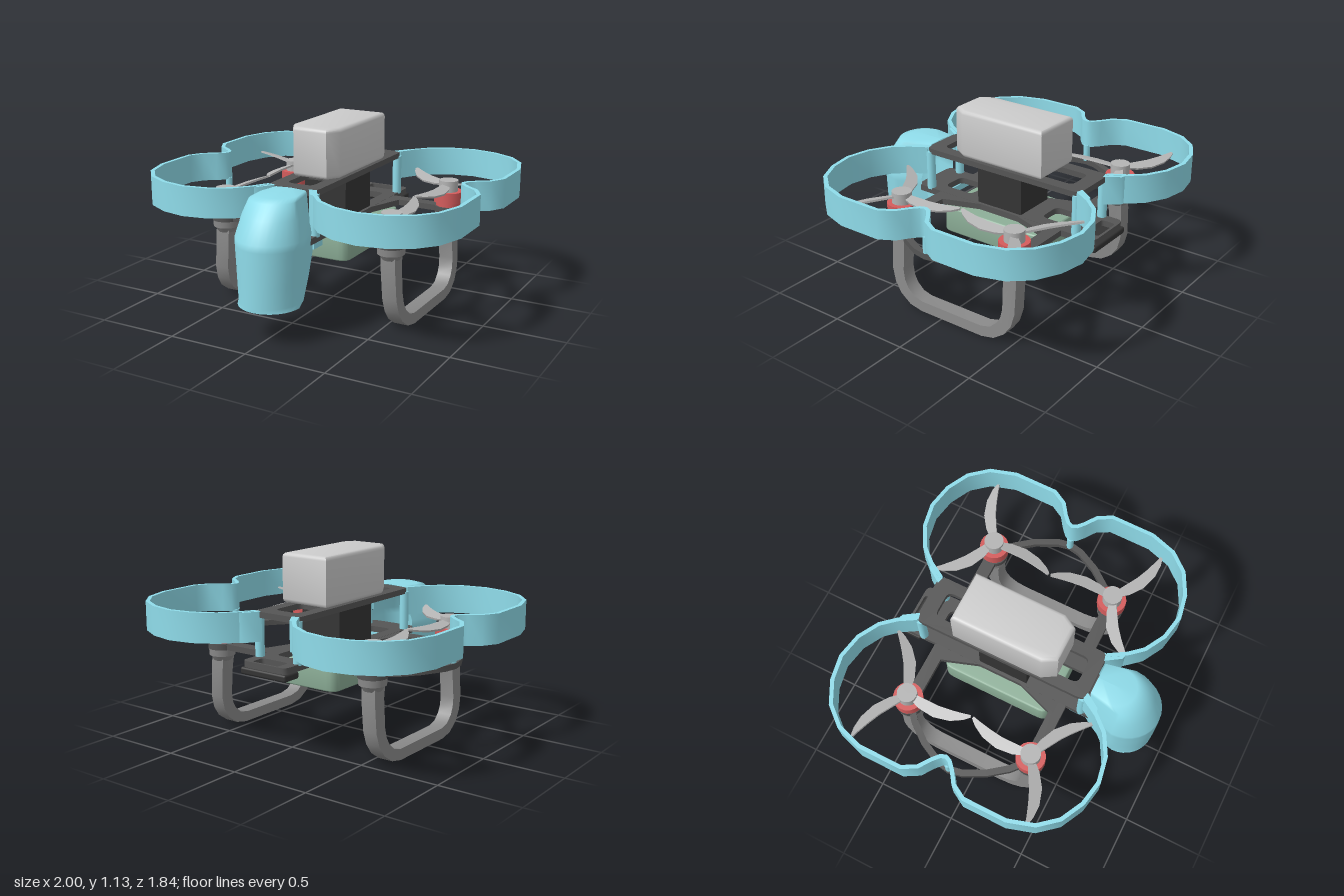
import * as THREE from 'three';
import { RoundedBoxGeometry } from 'three/addons/geometries/RoundedBoxGeometry.js';
import { toCreasedNormals } from 'three/addons/utils/BufferGeometryUtils.js';

const mat = (color, extra = {}) => new THREE.MeshStandardMaterial({ color, ...extra });
const BLUE = mat(0x8fdcea, { side: THREE.DoubleSide });
const RED = mat(0xd45c5c), GREEN = mat(0x8cae97), DARK = mat(0x555555);
const BLACK = mat(0x343434), LEG = mat(0x8a8a8a), PROP = mat(0xb4b4b4), GREY = mat(0xcccccc);
const MID = -0.07, HALF = 0.41, MX = 0.56; // motor layout
const vecs = pts => pts.map(([x, y]) => new THREE.Vector2(x, y));

// Closed outline around an open polyline with mitred corners; a point may carry its own width
function ribbon(pts, width) {
  const p = vecs(pts), left = [], right = [];
  const normal = (a, b) => new THREE.Vector2(a.y - b.y, b.x - a.x).normalize();
  p.forEach((q, i) => {
    const n1 = normal(p[Math.max(i - 1, 0)], p[Math.max(i, 1)]);
    const n2 = i < p.length - 1 ? normal(q, p[i + 1]) : n1;
    const n = n1.clone().add(n2).normalize();
    n.multiplyScalar((pts[i][2] ?? width) / 2 / n.dot(n1));
    left.push(q.clone().add(n));
    right.unshift(q.clone().sub(n));
  });
  return new THREE.Shape([...left, ...right]);
}

// Rounded rectangle in plan, x from -w to w and z from z0 to z1
function roundRect(w, z0, z1, r, Type = THREE.Shape) {
  const s = new Type();
  s.moveTo(-w + r, z0);
  s.lineTo(w - r, z0); s.quadraticCurveTo(w, z0, w, z0 + r);
  s.lineTo(w, z1 - r); s.quadraticCurveTo(w, z1, w - r, z1);
  s.lineTo(-w + r, z1); s.quadraticCurveTo(-w, z1, -w, z1 - r);
  s.lineTo(-w, z0 + r); s.quadraticCurveTo(-w, z0, -w + r, z0);
  return s;
}

// Extrude a plan (x, z) shape between two heights, optionally with rounded rims
function slab(shape, y0, y1, bevel = 0) {
  const g = new THREE.ExtrudeGeometry(shape, {
    depth: y1 - y0 - 2 * bevel, curveSegments: 4, bevelEnabled: bevel > 0,
    bevelSize: bevel, bevelThickness: bevel, bevelOffset: -bevel, bevelSegments: 3,
  });
  return toCreasedNormals(g.rotateX(Math.PI / 2).translate(0, y1 - bevel, 0), 0.8);
}

// Nose cover: U-shaped sections open at the back and bottom
function noseGeometry() {
  const rows = [ // y, half width, back z, front z
    [0.21, 0.187, 0.73, 0.915], [0.235, 0.188, 0.67, 0.916], [0.35, 0.194, 0.57, 0.918],
    [0.475, 0.2, 0.49, 0.92], [0.52, 0.203, 0.5, 0.92], [0.56, 0.205, 0.54, 0.92],
    [0.6, 0.207, 0.54, 0.92], [0.72, 0.174, 0.52, 0.86],
    [0.805, 0.146, 0.5, 0.8], [0.822, 0.12, 0.5, 0.74], [0.827, 0, 0.5, 0.62],
  ];
  const pos = [], index = [], N = 16, cols = N + 3;
  rows.forEach(([y, w, zb, zf]) => {
    const zc = Math.max(zb, Math.min(0.7, zf - 0.12));
    const wb = w * (1 - 1.5 * (zc - zb));
    pos.push(wb, y, zb);
    for (let j = 0; j <= N; j++) {
      const t = Math.PI * j / N;
      pos.push(w * Math.cos(t), y, zc + (zf - zc) * Math.sin(t));
    }
    pos.push(-wb, y, zb);
  });
  for (let i = 0; i < rows.length - 1; i++) for (let j = 0; j < cols - 1; j++) {
    const a = i * cols + j, c = a + cols;
    index.push(a, c, a + 1, a + 1, c, c + 1);
  }
  const g = new THREE.BufferGeometry();
  g.setAttribute('position', new THREE.Float32BufferAttribute(pos, 3));
  g.setIndex(index);
  g.computeVertexNormals();
  return g;
}

export function createModel() {
  const model = new THREE.Group();
  const add = (name, geo, material, x = 0, y = 0, z = 0, parent = model) => {
    const m = new THREE.Mesh(geo, material);
    m.name = name;
    m.position.set(x, y, z);
    parent.add(m);
    return m;
  };
  const cyl = (r0, r1, h, n = 20) => new THREE.CylinderGeometry(r0, r1, h, n);

  // Lower and upper frame plates with cut-outs
  const lower = roundRect(0.16, -0.745, 0.57, 0.04);
  lower.holes.push(roundRect(0.08, -0.54, -0.33, 0.04, THREE.Path),
    roundRect(0.08, 0.2, 0.41, 0.04, THREE.Path), roundRect(0.095, -0.73, -0.64, 0.02, THREE.Path));
  add('lowerPlate', slab(lower, 0.52, 0.558), DARK);
  const upper = roundRect(0.16, -0.635, 0.49, 0.05);
  upper.holes.push(roundRect(0.085, -0.54, -0.3, 0.04, THREE.Path),
    roundRect(0.085, 0.16, 0.405, 0.04, THREE.Path));
  add('upperPlate', slab(upper, 0.79, 0.825), DARK);
  add('rearBlock', new RoundedBoxGeometry(0.33, 0.042, 0.125, 2, 0.012), BLACK, 0, 0.5, -0.693);
  add('electronicsStack', new THREE.BoxGeometry(0.28, 0.24, 0.32), BLACK, 0, 0.675, -0.06);

  // Battery on top, with its front corners cut
  const battery = new THREE.Shape(vecs([[-0.16, -0.375], [0.16, -0.375], [0.16, 0.2],
    [0.11, 0.283], [-0.11, 0.283], [-0.16, 0.2]]));
  add('battery', slab(battery, 0.83, 1.13, 0.025), GREY);

  // Belly box
  add('bellyBox', slab(roundRect(0.25, -0.42, 0.293, 0.06), 0.355, 0.52, 0.01), GREEN);

  // Nose cover and its mounting bracket
  add('noseCover', noseGeometry(), BLUE);
  add('noseBracket', new THREE.BoxGeometry(0.3, 0.04, 0.1), BLUE, 0, 0.5, 0.45);

  // Half of one duct wall, from the waist to the frame (x, distance from the middle)
  const ductHalf = [[0.818, 0], [0.83, 0.03], [0.87, 0.066], [0.94, 0.115], [0.988, 0.2], [0.988, 0.47],
    [0.938, 0.63], [0.845, 0.74], [0.71, 0.81], [0.56, 0.838], [0.41, 0.81], [0.285, 0.74],
    [0.21, 0.655], [0.15, 0.555]];
  const braceHalf = [[0.825, 0], [0.81, 0.08], [0.745, 0.21], [0.66, 0.32], [0.59, 0.38]];
  const mirrored = (half, s) => [...half.slice(1).reverse().map(([x, z]) => [s * x, MID - z]),
    ...half.map(([x, z]) => [s * x, MID + z])];
  const bladeOutline = [[0.03, -0.02], [0.1, -0.045], [0.2, -0.055], [0.3, -0.032], [0.37, 0.008],
    [0.405, 0.04], [0.4, 0.055], [0.36, 0.045], [0.28, 0.03], [0.2, 0.02], [0.1, 0.02], [0.03, 0.02]];
  // Landing leg path: half span along z, height, width
  const legHalf = [[0.4, 0.5, 0.1], [0.412, 0.4, 0.09], [0.412, 0.22, 0.085], [0.395, 0.15, 0.08],
    [0.36, 0.095, 0.075], [0.3, 0.05, 0.068], [0.225, 0.033, 0.065]];
  const legPath = [...legHalf.map(([z, y, w]) => [MID + z, y, w]),
    ...[...legHalf].reverse().map(([z, y, w]) => [MID - z, y, w])];

  for (const s of [-1, 1]) {
    const side = s > 0 ? 'left' : 'right';
    add(side + 'Ducts', slab(ribbon(mirrored(ductHalf, s), 0.024), 0.65, 0.828), BLUE);
    add(side + 'Brace', slab(ribbon(mirrored(braceHalf, s), 0.04), 0.522, 0.556), DARK);
    add(side + 'WaistPost', cyl(0.022, 0.022, 0.11, 12), BLUE, s * 0.82, 0.603, MID);

    // Landing leg: a squared hoop leaning outward toward the ground
    const leg = new THREE.ExtrudeGeometry(ribbon(legPath), { depth: 0.09, bevelEnabled: false });
    leg.rotateY(-Math.PI / 2).translate(0.045, 0, 0);
    const p = leg.attributes.position;
    for (let i = 0; i < p.count; i++) {
      p.setX(i, p.getX(i) + s * (MX + 0.028 * (1 - Math.min(1, p.getY(i) / 0.45))));
    }
    add(side + 'LandingLeg', toCreasedNormals(leg, 0.8), LEG);

    for (const f of [-1, 1]) {
      const unit = new THREE.Group();
      unit.name = (f > 0 ? 'front' : 'back') + (s > 0 ? 'Left' : 'Right') + 'Rotor';
      unit.position.set(s * MX, 0, MID + f * HALF);
      model.add(unit);
      const part = (name, geo, material, x, y, z) => add(name, geo, material, x, y, z, unit);

      // Arm, motor seat and leg collar
      part('arm', new THREE.BoxGeometry(0.42, 0.036, 0.08), DARK, -s * 0.21, 0.539, 0);
      part('motorSeat', cyl(0.085, 0.085, 0.038), DARK, 0, 0.539, 0);
      part('legCollar', cyl(0.082, 0.08, 0.042), LEG, 0, 0.5, 0);
      part('legCollarTaper', cyl(0.075, 0.052, 0.035), LEG, 0, 0.463, 0);

      // Motor and hub
      part('motorBase', cyl(0.075, 0.075, 0.03), RED, 0, 0.572, 0);
      part('motorBell', cyl(0.09, 0.09, 0.068), RED, 0, 0.617, 0);
      part('hub', cyl(0.06, 0.06, 0.07), PROP, 0, 0.685, 0);

      // Three swept blades, mirrored between neighbouring rotors
      const k = s * f;
      for (let i = 0; i < 3; i++) {
        const blade = slab(new THREE.Shape(vecs(bladeOutline.map(([u, v]) => [k * v, u]))), -0.006, 0.006);
        blade.rotateZ(k * 0.25).rotateY((f > 0 ? Math.PI : 0) + i * Math.PI * 2 / 3);
        part('blade', blade, PROP, 0, 0.69, 0);
      }

      // Gusset between the arm and the lower plate
      const plan = pts => new THREE.Shape(vecs(pts.map(([x, z]) => [s * x, MID + f * z])));
      add('gusset', slab(plan([[0.15, 0.4], [0.25, 0.4], [0.15, 0.11]]), 0.521, 0.557), DARK);

      // Wedge and standoff joining the duct end to the frame
      add('ductWedge', slab(plan([[0.11, 0.555], [0.15, 0.545], [0.225, 0.66], [0.17, 0.645]]), 0.65, 0.826), BLUE);
      add('ductPost', cyl(0.028, 0.028, 0.25, 12), BLUE, s * 0.14, 0.675, MID + f * 0.54);
    }
  }
  return model;
}
